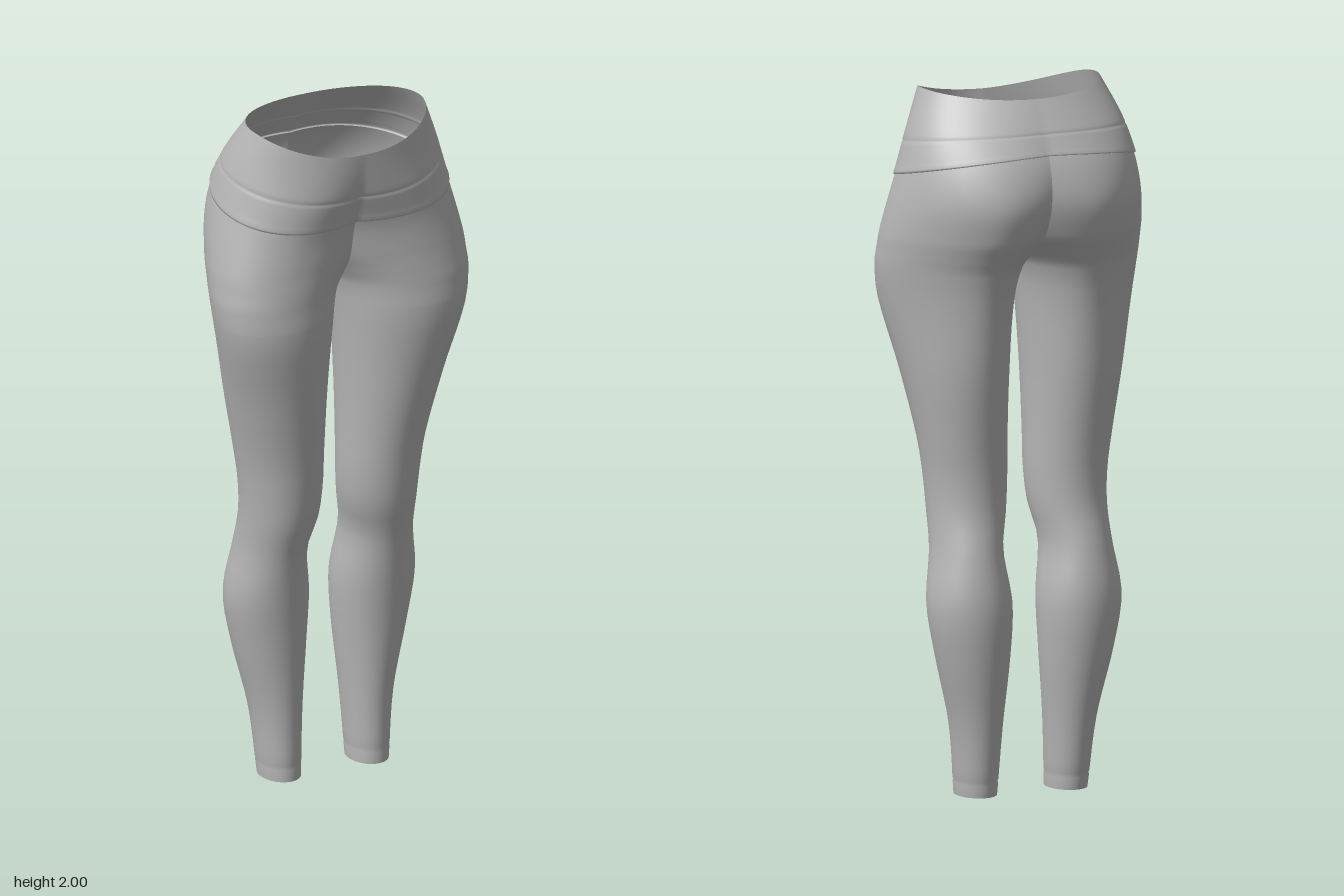
import * as THREE from 'three';

// Half-garment sections: y, inner x, outer x, centre x, front z, back z, skew
const SECTIONS = [
  [0.00, 0.080, 0.195, 0.138, 0.065, -0.085, 0],
  [0.20, 0.070, 0.215, 0.142, 0.065, -0.113, 0],
  [0.40, 0.053, 0.262, 0.155, 0.074, -0.145, 0],
  [0.55, 0.047, 0.286, 0.162, 0.088, -0.155, 0],
  [0.70, 0.066, 0.265, 0.164, 0.110, -0.130, 0],
  [0.80, 0.045, 0.262, 0.155, 0.140, -0.106, 0],
  [0.90, 0.037, 0.268, 0.153, 0.156, -0.102, 0],
  [1.00, 0.037, 0.282, 0.158, 0.170, -0.110, 0],
  [1.20, 0.033, 0.322, 0.176, 0.205, -0.135, 0.01],
  [1.40, 0.020, 0.362, 0.190, 0.235, -0.156, 0.03],
  [1.50, 0.000, 0.373, 0.186, 0.230, -0.178, 0.035],
  [1.55, -0.035, 0.372, 0.175, 0.225, -0.202, 0.035],
  [1.60, -0.080, 0.369, 0.162, 0.220, -0.228, 0.035],
  [1.70, -0.140, 0.356, 0.135, 0.216, -0.249, 0.025],
  [1.80, -0.200, 0.335, 0.090, 0.228, -0.226, 0.01],
  [1.90, -0.260, 0.305, 0.040, 0.239, -0.172, 0],
  [2.00, -0.265, 0.265, 0.000, 0.250, -0.115, 0],
];
const COLS = 72;

// Smooth interpolation of the section table
function section(y) {
  const last = SECTIONS.length - 1;
  let i = 0;
  while (i < last - 1 && y > SECTIONS[i + 1][0]) i++;
  const a = SECTIONS[i], b = SECTIONS[i + 1];
  const p = SECTIONS[Math.max(i - 1, 0)], q = SECTIONS[Math.min(i + 2, last)];
  const h = b[0] - a[0], t = THREE.MathUtils.clamp((y - a[0]) / h, 0, 1);
  return a.map((v, k) => {
    const m0 = (b[k] - p[k]) / (b[0] - p[0]) * h, m1 = (q[k] - v) / (q[0] - a[0]) * h;
    return v * (1 + 2 * t) * (1 - t) ** 2 + m0 * t * (1 - t) ** 2
      + b[k] * t * t * (3 - 2 * t) + m1 * t * t * (t - 1);
  });
}

// Point at u (0 = inner front, 1 = inner back); above the crotch both ends lie on x = 0
function surfacePoint(u, y, offset) {
  const [, inner, outer, cx, zf, zb, skew] = section(y);
  const xAt = a => cx + Math.cos(a) * (Math.cos(a) > 0 ? outer - cx : cx - inner)
    + skew * Math.sin(a) * (1 + Math.cos(a));
  const limit = sign => {
    if (inner >= 0) return sign * Math.PI;
    let lo = Math.PI * 0.4, hi = Math.PI;
    for (let k = 0; k < 40; k++) {
      const mid = (lo + hi) / 2;
      if (xAt(sign * mid) > 0) lo = mid; else hi = mid;
    }
    return sign * lo;
  };
  const a = THREE.MathUtils.lerp(limit(1), limit(-1), u);
  const x = Math.max(xAt(a), 0);
  const z = (zf + zb) / 2 + (zf - zb) / 2 * Math.sin(a);
  return [x + offset * Math.cos(a) * Math.min(x / 0.05, 1), y, z + offset * Math.sin(a)];
}

// Loft through rows of [level, offset]; heightAt bends each level around the body
function loft(rows, heightAt, flatCentre) {
  const pos = [], index = [], w = COLS + 1;
  rows.forEach(([level, offset], j) => {
    for (let i = 0; i <= COLS; i++) {
      const u = i / COLS;
      pos.push(...surfacePoint(u, heightAt(level, Math.cos(Math.PI * u)), offset));
      if (j && i) {
        const d = j * w + i, c = d - 1, b = d - w, a = b - 1;
        index.push(a, c, b, b, c, d);
      }
    }
  });
  const g = new THREE.BufferGeometry();
  g.setAttribute('position', new THREE.Float32BufferAttribute(pos, 3));
  g.setIndex(index);
  g.computeVertexNormals();
  // Smooth the inner-leg join and the centre of the waistband
  const n = g.attributes.normal, A = new THREE.Vector3(), B = new THREE.Vector3();
  rows.forEach(([level], j) => {
    const s = j * w, e = s + COLS;
    A.fromBufferAttribute(n, s);
    B.fromBufferAttribute(n, e);
    if (flatCentre) {
      A.setX(0).normalize();
      B.setX(0).normalize();
    } else if (level < 1.5) {
      A.add(B).normalize();
      B.copy(A);
    } else return;
    n.setXYZ(s, A.x, A.y, A.z);
    n.setXYZ(e, B.x, B.y, B.z);
  });
  return g;
}

const bandBottom = s => 1.775 - 0.06 * s;
const rim = s => 2 - (s > 0 ? 0.06 : 0.018) * s * s;

export function createModel() {
  const fabric = new THREE.MeshStandardMaterial({ color: 0xb4b4b4, side: THREE.DoubleSide });
  fabric.name = 'grey fabric';

  // Leg and hip rows, with a stitched groove at the ankle hem
  const bodyRows = [[0, 0], [0.034, 0], [0.04, -0.003], [0.046, 0]];
  for (let y = 0.08; y < 1.439; y += 0.04) bodyRows.push([y, 0]);
  for (let k = 0; k <= 34; k++) bodyRows.push([1.435 + k * 0.01, 0]);
  const body = loft(bodyRows, (y, s) => y < 1.55 ? y
    : 1.55 + (y - 1.55) / 0.225 * (bandBottom(s) - 1.55), false);

  // Waistband standing slightly proud, with one stitched groove
  const bandRows = [[0, -0.001], [0.004, 0.004], [0.03, 0.006]];
  for (let t = 0.08; t < 0.36; t += 0.05) bandRows.push([t, 0.005]);
  bandRows.push([0.37, 0.005], [0.385, 0.002], [0.4, 0.005]);
  for (let k = 0; k <= 10; k++) bandRows.push([0.45 + k * 0.055, 0.005 * (1 - k / 10)]);
  const band = loft(bandRows, (t, s) => THREE.MathUtils.lerp(bandBottom(s), rim(s), t), true);

  const model = new THREE.Group();
  model.name = 'leggings';
  for (const [side, sx] of [['left', 1], ['right', -1]]) {
    const half = new THREE.Group();
    half.name = side + 'Half';
    half.scale.x = sx;
    for (const [name, geo] of [['LegAndHip', body], ['Waistband', band]]) {
      const mesh = new THREE.Mesh(geo, fabric);
      mesh.name = side + name;
      half.add(mesh);
    }
    model.add(half);
  }
  return model;
}
